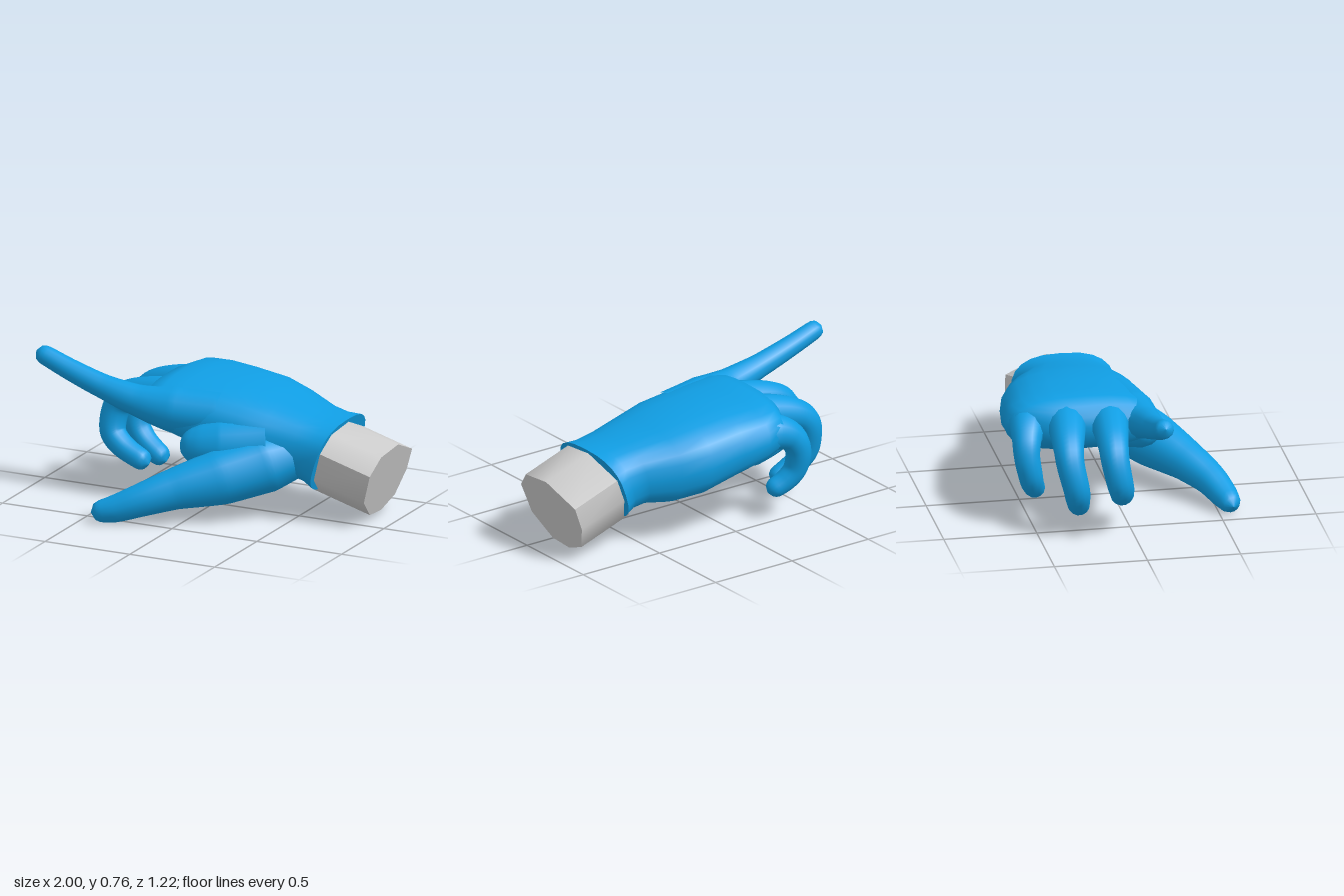
import * as THREE from 'three';
import { mergeVertices, toCreasedNormals } from 'three/addons/utils/BufferGeometryUtils.js';

const blue = new THREE.MeshStandardMaterial({ color: 0x109ee4 });
const grey = new THREE.MeshStandardMaterial({ color: 0xcccccc });

// Skin a list of closed rings running from +x to -x, with a cap on both ends
function loft(rings, crease) {
  const n = rings[0].length, pos = [], idx = [];
  rings.forEach(r => r.forEach(p => pos.push(...p)));
  for (let i = 0; i < rings.length - 1; i++) {
    for (let j = 0; j < n; j++) {
      const a = i * n + j, b = i * n + (j + 1) % n;
      idx.push(a, b, a + n, b, b + n, a + n);
    }
  }
  [0, rings.length - 1].forEach(i => {
    const c = pos.length / 3;
    for (let k = 0, r = rings[i]; k < 3; k++) pos.push(r.reduce((s, p) => s + p[k], 0) / n);
    for (let j = 0; j < n; j++) {
      const a = i * n + j, b = i * n + (j + 1) % n;
      if (i) idx.push(c, a, b); else idx.push(c, b, a);
    }
  });
  const g = new THREE.BufferGeometry();
  g.setAttribute('position', new THREE.Float32BufferAttribute(pos, 3));
  g.setIndex(idx);
  return toCreasedNormals(g, crease);
}

// Tube along [x, y, z, radius] stations that ends in a rounded tip
function digit(stations) {
  const sides = 14, segs = 48;
  const curve = new THREE.CatmullRomCurve3(stations.map(s => new THREE.Vector3(s[0], s[1], s[2])));
  const length = curve.getLength();
  let g = new THREE.TubeGeometry(curve, segs, 1, sides);
  const pos = g.attributes.position, v = new THREE.Vector3();
  for (let i = 0; i < pos.count; i++) {
    const u = Math.floor(i / (sides + 1)) / segs;
    const t = curve.getUtoTmapping(u) * (stations.length - 1);
    const k = Math.min(Math.floor(t), stations.length - 2);
    let r = THREE.MathUtils.lerp(stations[k][3], stations[k + 1][3], t - k);
    const d = Math.min(1, (1 - u) * length / r);
    r *= Math.sqrt(Math.max(1e-6, 1 - (1 - d) ** 2));
    const p = curve.getPointAt(u);
    v.fromBufferAttribute(pos, i).sub(p).multiplyScalar(r).add(p);
    pos.setXYZ(i, v.x, v.y, v.z);
  }
  g.deleteAttribute('normal');
  g.deleteAttribute('uv');
  g = mergeVertices(g, 1e-5);
  g.computeVertexNormals();
  return g;
}

// Palm cross-section: rounded box-like oval, leaning in x by skew
function palmRing([x, z0, z1, top, bottom, skew]) {
  const ring = [], sides = 24;
  const soft = c => Math.sign(c) * Math.abs(c) ** 0.76;
  for (let j = 0; j < sides; j++) {
    const a = j / sides * Math.PI * 2;
    const y = (top + bottom) / 2 + soft(Math.sin(a)) * (top - bottom) / 2;
    const z = (z0 + z1) / 2 + soft(Math.cos(a)) * (z1 - z0) / 2;
    ring.push([x + skew * (y - 0.34), y, z]);
  }
  return ring;
}

export function createModel() {
  const group = new THREE.Group();
  const add = (name, geometry, material = blue) => {
    const mesh = new THREE.Mesh(geometry, material);
    mesh.name = name;
    group.add(mesh);
  };

  // Nine-sided forearm stub, [z, y] outline
  const outline = [[0.10, 0.31], [0.02, 0.40], [-0.17, 0.42], [-0.39, 0.33], [-0.40, 0.21],
    [-0.34, 0.08], [-0.21, 0.03], [-0.07, 0.04], [0.07, 0.15]];
  const arm = (dx, dy, dz) => outline.map(([z, y]) => [0.87 + 0.31 * y + dx, y + dy, z + dz]);
  add('forearm', loft([arm(0, 0, 0), arm(-0.32, 0.1, 0.015)], 0.8), grey);

  // Flared cuff, back of the hand and knuckles: x, z min, z max, top, bottom, skew
  add('palm', loft([
    [0.66, -0.42, 0.145, 0.53, 0.15, 0.32],
    [0.59, -0.40, 0.12, 0.535, 0.18, 0.30],
    [0.50, -0.42, 0.12, 0.555, 0.20, 0.20],
    [0.36, -0.515, 0.15, 0.60, 0.20, 0],
    [0.20, -0.567, 0.17, 0.64, 0.22, 0],
    [0.00, -0.585, 0.17, 0.66, 0.28, 0],
    [-0.15, -0.605, 0.18, 0.665, 0.33, 0],
    [-0.26, -0.585, 0.18, 0.665, 0.37, 0],
    [-0.34, -0.45, 0.17, 0.64, 0.41, 0],
    [-0.38, -0.36, 0.13, 0.59, 0.45, 0],
  ].map(palmRing), 1.0));

  // Thumb and the web that joins it to the hand
  add('thumb', digit([[0.50, 0.35, -0.02, 0.12], [0.35, 0.30, 0.08, 0.16], [0.15, 0.235, 0.24, 0.15],
    [-0.05, 0.18, 0.385, 0.11], [-0.20, 0.125, 0.485, 0.088], [-0.33, 0.075, 0.54, 0.072],
    [-0.445, 0.05, 0.57, 0.05]]));
  add('thumbWeb', digit([[0.32, 0.38, 0.02, 0.17], [0.10, 0.37, 0.12, 0.15],
    [-0.03, 0.37, 0.16, 0.11], [-0.11, 0.38, 0.16, 0.09]]));

  // Pointing index finger
  add('indexFinger', digit([[0.05, 0.50, 0.03, 0.13], [-0.20, 0.515, 0.075, 0.125],
    [-0.40, 0.545, 0.105, 0.085], [-0.60, 0.595, 0.11, 0.065], [-0.80, 0.66, 0.105, 0.057],
    [-0.94, 0.713, 0.1, 0.052], [-1.0, 0.735, 0.1, 0.045]]));

  // Curled fingers
  add('middleFinger', digit([[-0.15, 0.52, -0.06, 0.12], [-0.36, 0.53, -0.08, 0.10],
    [-0.57, 0.485, -0.10, 0.08], [-0.625, 0.42, -0.10, 0.075], [-0.635, 0.29, -0.075, 0.07],
    [-0.57, 0.225, -0.055, 0.065], [-0.40, 0.15, -0.03, 0.055]]));
  add('ringFinger', digit([[-0.15, 0.53, -0.29, 0.12], [-0.36, 0.53, -0.31, 0.10],
    [-0.54, 0.475, -0.335, 0.08], [-0.59, 0.41, -0.335, 0.075], [-0.605, 0.27, -0.305, 0.07],
    [-0.56, 0.20, -0.29, 0.065], [-0.41, 0.10, -0.255, 0.055]]));
  add('littleFinger', digit([[-0.10, 0.50, -0.46, 0.12], [-0.25, 0.51, -0.50, 0.10],
    [-0.345, 0.465, -0.525, 0.078], [-0.385, 0.39, -0.53, 0.07], [-0.385, 0.28, -0.51, 0.065],
    [-0.34, 0.215, -0.49, 0.06], [-0.24, 0.15, -0.455, 0.052]]));

  return group;
}
